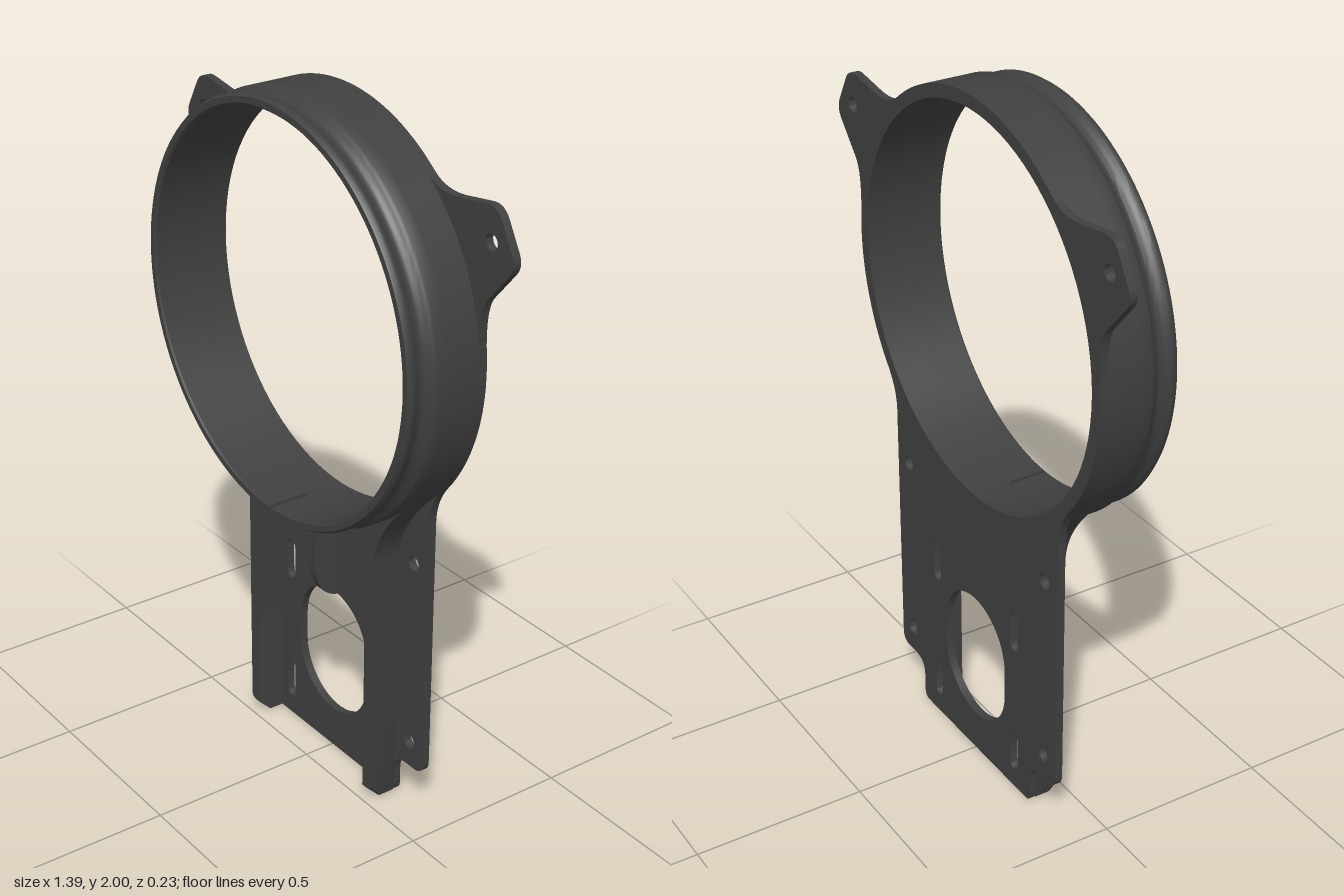
import * as THREE from 'three';
import { toCreasedNormals } from 'three/addons/utils/BufferGeometryUtils.js';

const CY = 1.41, R = 0.59, RI = 0.553;            // ring centre height and radii
const BACK = -0.117, FLOOR = -0.094, WALL = -0.01, FRONT = 0.117;

const v = (x, y) => new THREE.Vector2(x, y);

// points on a circle around the ring centre
function arc(r, a0, a1, n) {
  return Array.from({ length: n + 1 }, (_, i) => {
    const a = a0 + ((a1 - a0) * i) / n;
    return v(r * Math.cos(a), CY + r * Math.sin(a));
  });
}
const bend = (a, c, b, n = 10) => new THREE.QuadraticBezierCurve(v(...a), v(...c), v(...b)).getPoints(n);

// rounded corner at p between neighbours a and b
function corner(a, p, b, r) {
  const P = v(...p);
  const toward = (q) => v(...q).sub(P).setLength(r).add(P).toArray();
  return bend(toward(a), p, toward(b), 8);
}

function circle(x, y, r) {
  return new THREE.Path().absarc(x, y, r, 0, Math.PI * 2, true);
}
// upright slot with round ends
function slot(x, y0, y1, r) {
  const p = new THREE.Path();
  p.absarc(x, y1 - r, r, 0, Math.PI, false);
  p.absarc(x, y0 + r, r, Math.PI, Math.PI * 2, false);
  p.closePath();
  return p;
}

function extrude(shape, z0, z1) {
  const g = new THREE.ExtrudeGeometry(shape, { depth: z1 - z0, bevelEnabled: false, curveSegments: 20 });
  return g.translate(0, 0, z0);
}
// turn a geometry made around y so it faces +z at the ring centre
const toRing = (g) => g.rotateX(Math.PI / 2).translate(0, CY, 0);

export function createModel() {
  const group = new THREE.Group();
  const material = new THREE.MeshStandardMaterial({ color: 0x404040, side: THREE.DoubleSide });
  const add = (name, geometry) => {
    const mesh = new THREE.Mesh(toCreasedNormals(geometry, 0.6), material);
    mesh.name = name;
    group.add(mesh);
  };

  // back plate: bracket, ring flange and ears in one outline, mirrored across x
  const half = [
    ...corner([0, 0], [0.29, 0], [0.29, 0.1], 0.025),
    ...corner([0.29, 0], [0.29, 0.13], [0.415, 0.13], 0.055),
    ...corner([0.29, 0.13], [0.415, 0.13], [0.415, 0.9], 0.035),
    ...bend([0.415, 0.92], [0.415, 0.985], [0.46, 1.041]),
    ...arc(R, -0.676, 0.1, 20).slice(1),
    ...bend([0.587, 1.469], [0.578, 1.587], [0.61, 1.622]).slice(1),
    ...corner([0.61, 1.622], [0.706, 1.732], [0.63, 1.867], 0.035),
    ...corner([0.706, 1.732], [0.63, 1.867], [0.49, 1.845], 0.04),
    ...bend([0.49, 1.845], [0.415, 1.835], [0.37, 1.87]),
    ...arc(R, 0.893, Math.PI / 2, 18).slice(1),
  ];
  const mirrored = half.slice(0, -1).reverse().map((p) => v(-p.x, p.y));
  const plate = new THREE.Shape([...half, ...mirrored]);
  plate.holes.push(new THREE.Path(arc(RI, Math.PI * 2, 0, 96).slice(0, -1)));
  plate.holes.push(slot(0, 0.125, 0.52, 0.157));
  for (const s of [-1, 1]) {
    plate.holes.push(circle(s * 0.355, 0.775, 0.022), circle(s * 0.355, 0.21, 0.022));
    plate.holes.push(circle(s * 0.615, 1.77, 0.022));
    plate.holes.push(slot(s * 0.205, 0.465, 0.588, 0.019), slot(s * 0.205, 0.06, 0.183, 0.019));
  }
  add('backPlate', extrude(plate, BACK, FLOOR));

  // ring: full sleeve behind, grooved collar with a narrow slit in front
  const slit = 0, gap = 0.01;
  const sleeve = [[RI, FLOOR], [R, FLOOR], [R, slit], [RI, slit], [RI, FLOOR]].map((p) => v(...p));
  add('ringSleeve', toRing(new THREE.LatheGeometry(sleeve, 128)));
  const collar = [
    v(RI, slit), v(R, slit), v(R, 0.036),
    ...bend([0.587, 0.042], [0.556, 0.066], [0.578, 0.09], 8),
    v(0.581, 0.098), v(0.581, 0.108), v(0.575, FRONT), v(RI + 0.005, FRONT), v(RI, FRONT - 0.005),
  ];
  add('ringCollar', toRing(new THREE.LatheGeometry([...collar, collar[0]], 128, gap, Math.PI * 2 - 2 * gap)));
  for (const s of [-1, 1]) {
    const face = new THREE.ShapeGeometry(new THREE.Shape(collar));
    add('slitFace', toRing(face.rotateY(-Math.PI / 2 + s * gap)));
  }

  // channel walls: flared where they meet the ring, chamfered at the foot
  for (const s of [-1, 1]) {
    const outline = [
      v(0.255, 0),
      ...corner([0.255, 0], [0.29, 0], [0.29, 0.1], 0.02),
      ...bend([0.29, 0.76], [0.29, 0.857], [0.4, 0.976]),
      ...arc(0.575, -0.83, -1.19, 12),
      ...bend([0.205, 0.858], [0.25, 0.872], [0.255, 0.8]),
    ].map((p) => v(s * p.x, p.y));
    const shape = new THREE.Shape(outline);
    add('channelWall', extrude(shape, FLOOR, -0.05));
    const top = extrude(shape, -0.05, WALL);
    const pos = top.attributes.position;
    for (let i = 0; i < pos.count; i++) {
      if (pos.getY(i) < 0.1 && pos.getZ(i) > -0.03) pos.setY(i, pos.getY(i) + 0.04);
    }
    add('channelWallChamfer', top);
  }

  // centre rib rising toward the ring, profile drawn in (z, y)
  const rib = new THREE.Shape([
    v(FLOOR, 0.84), v(FLOOR, 0.515),
    ...bend([-0.08, 0.52], [-0.03, 0.54], [-0.02, 0.62]),
    v(-0.015, 0.84),
  ]);
  add('centreRib', extrude(rib, -0.013, 0.013).rotateY(-Math.PI / 2));

  return group;
}
